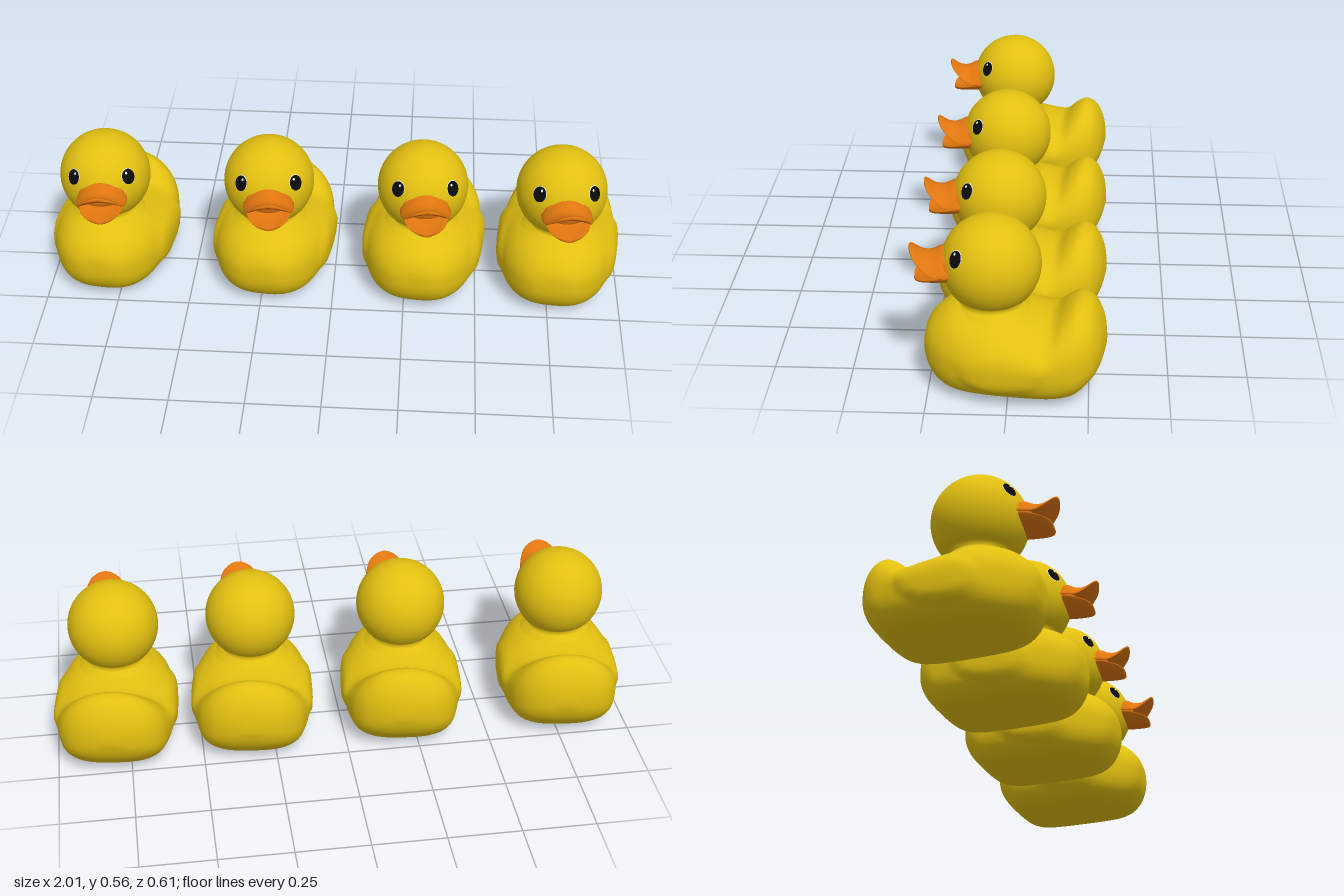
import * as THREE from 'three';

const material = (name, color) => {
  const m = new THREE.MeshStandardMaterial({ color });
  m.name = name;
  return m;
};
const yellow = material('duckYellow', 0xe2c010);
const orange = material('billOrange', 0xe0760f);
const black = material('eyeBlack', 0x0a0a0a);
const white = material('eyeWhite', 0xf2f2f2);

const HEAD_Y = 0.407, HEAD_Z = 0.055, HEAD_R = 0.155;

function mesh(name, geometry, mat) {
  const m = new THREE.Mesh(geometry, mat);
  m.name = name;
  return m;
}

// Smoothly resample a short table of cross-sections (five numbers per row)
function resample(rows, steps) {
  const spline = (f) => new THREE.CatmullRomCurve3(rows.map(f), false, 'catmullrom');
  const a = spline((r) => new THREE.Vector3(r[0], r[1], r[2]));
  const b = spline((r) => new THREE.Vector3(r[3], r[4], 0));
  return Array.from({ length: steps + 1 }, (_, i) => {
    const p = a.getPoint(i / steps), q = b.getPoint(i / steps);
    return [p.x, p.y, p.z, q.x, q.y];
  });
}

// Skin closed cross-sections, ordered front to back, with both ends capped
function loft(rows, sides, pointAt) {
  const pos = [], index = [], n = rows.length;
  for (const row of rows) {
    for (let j = 0; j < sides; j++) pos.push(...pointAt(row, (j / sides) * Math.PI * 2));
  }
  for (let i = 0; i < n - 1; i++) {
    for (let j = 0; j < sides; j++) {
      const k = (j + 1) % sides;
      const a = i * sides + j, b = i * sides + k, c = a + sides, d = b + sides;
      index.push(a, c, b, b, c, d);
    }
  }
  for (const end of [0, n - 1]) {
    const right = pointAt(rows[end], 0), left = pointAt(rows[end], Math.PI);
    const up = pointAt(rows[end], Math.PI / 2), down = pointAt(rows[end], -Math.PI / 2);
    const centre = pos.length / 3;
    pos.push((right[0] + left[0]) / 2, (up[1] + down[1]) / 2, up[2]);
    for (let j = 0; j < sides; j++) {
      const a = end * sides + j, b = end * sides + ((j + 1) % sides);
      if (end === 0) index.push(centre, a, b);
      else index.push(centre, b, a);
    }
  }
  const g = new THREE.BufferGeometry();
  g.setAttribute('position', new THREE.Float32BufferAttribute(pos, 3));
  g.setIndex(index);
  g.computeVertexNormals();
  return g;
}

// Body with upturned tail and softly raised wings
function bodyGeometry() {
  // z, bottom, top, half width, height of widest point
  const rows = resample([
    [0.262, 0.125, 0.155, 0.025, 0.14],
    [0.258, 0.095, 0.182, 0.06, 0.14],
    [0.245, 0.062, 0.212, 0.092, 0.138],
    [0.22, 0.03, 0.24, 0.125, 0.136],
    [0.18, 0.008, 0.268, 0.158, 0.135],
    [0.13, 0, 0.283, 0.182, 0.135],
    [0.06, 0, 0.285, 0.198, 0.135],
    [0, 0, 0.276, 0.202, 0.135],
    [-0.06, 0, 0.261, 0.203, 0.135],
    [-0.12, 0, 0.25, 0.2, 0.135],
    [-0.15, 0, 0.257, 0.195, 0.136],
    [-0.18, 0.003, 0.286, 0.188, 0.138],
    [-0.21, 0.013, 0.307, 0.18, 0.14],
    [-0.235, 0.031, 0.309, 0.168, 0.143],
    [-0.26, 0.057, 0.296, 0.148, 0.148],
    [-0.28, 0.083, 0.267, 0.12, 0.155],
    [-0.295, 0.115, 0.228, 0.08, 0.162],
    [-0.304, 0.15, 0.182, 0.025, 0.166],
  ], 68);
  return loft(rows, 56, ([z, bottom, top, w, mid], a) => {
    const c = Math.cos(a), s = Math.sin(a);
    const e = 2 / (s > 0 ? 2.1 : 2.8);
    let x = w * Math.sign(c) * Math.abs(c) ** e;
    const y = mid + (s > 0 ? top - mid : bottom - mid) * Math.abs(s) ** e;
    const d = Math.hypot((z + 0.005) / 0.14, (y - 0.135 + z * 0.1) / 0.08);
    x += Math.sign(c) * Math.min(1, Math.abs(c) * 3) * 0.01 * (1 - THREE.MathUtils.smoothstep(d, 0.75, 1.1));
    return [x, y, z];
  });
}

// Round head with a flared neck, turned as one profile
function headGeometry() {
  const profile = [[0.14, 0.24], [0.118, 0.263], [0.101, 0.276], [0.094, 0.286], [0.104, 0.297]]
    .map(([r, y]) => new THREE.Vector2(r, y));
  for (let i = 0; i <= 28; i++) {
    const a = THREE.MathUtils.lerp(-0.7, Math.PI / 2, i / 28);
    profile.push(new THREE.Vector2(Math.max(0, HEAD_R * Math.cos(a)), HEAD_Y + HEAD_R * Math.sin(a)));
  }
  return new THREE.LatheGeometry(profile, 56);
}

// One half of the bill: z, half width, centre top, edge height, half thickness
function billGeometry(rows) {
  return loft(resample(rows, 20).reverse(), 28, ([z, w, top, edge, t], a) => {
    const c = Math.cos(a);
    return [w * c, THREE.MathUtils.lerp(top - t, edge, c * c) + t * Math.sin(a), z - HEAD_Z];
  });
}

// Thin rounded patch lying on the head
function eyePatch(name, mat, lift, angle, yaw, pitch) {
  const g = new THREE.SphereGeometry(HEAD_R + lift, 28, 5, 0, Math.PI * 2, 0, angle);
  g.rotateX(Math.PI / 2).scale(0.88, 1, 1);
  const m = mesh(name, g, mat);
  m.rotation.set(-pitch, yaw, 0, 'YXZ');
  m.position.y = HEAD_Y;
  return m;
}

function createDuck() {
  const duck = new THREE.Group();
  const body = mesh('body', bodyGeometry(), yellow);
  body.rotation.y = -0.1;

  const head = new THREE.Group();
  head.name = 'head';
  head.position.set(-0.006, 0, HEAD_Z);
  head.rotation.y = 0.08;
  head.add(mesh('headAndNeck', headGeometry(), yellow));

  const billBase = mesh('billBase', new THREE.SphereGeometry(1, 28, 18), orange);
  billBase.scale.set(0.08, 0.052, 0.045);
  billBase.position.set(0, 0.409, 0.127);
  head.add(billBase);
  head.add(mesh('upperBill', billGeometry([
    [0.16, 0.082, 0.467, 0.4, 0.02],
    [0.2, 0.086, 0.465, 0.397, 0.02],
    [0.235, 0.081, 0.45, 0.397, 0.014],
    [0.265, 0.072, 0.451, 0.416, 0.01],
    [0.29, 0.056, 0.467, 0.443, 0.009],
    [0.301, 0.036, 0.474, 0.458, 0.007],
    [0.305, 0.012, 0.472, 0.464, 0.004],
  ]), orange));
  head.add(mesh('lowerBill', billGeometry([
    [0.16, 0.072, 0.385, 0.39, 0.016],
    [0.2, 0.08, 0.386, 0.393, 0.016],
    [0.23, 0.075, 0.377, 0.388, 0.012],
    [0.26, 0.065, 0.372, 0.381, 0.009],
    [0.28, 0.048, 0.37, 0.376, 0.008],
    [0.288, 0.03, 0.368, 0.372, 0.006],
    [0.291, 0.01, 0.366, 0.368, 0.004],
  ]), orange));

  // Eyes: white rim, black pupil, small glint
  for (const side of [1, -1]) {
    const label = side > 0 ? 'left' : 'right';
    head.add(
      eyePatch(label + 'EyeRim', white, 0.001, 0.18, side * 0.7, 0.405),
      eyePatch(label + 'EyePupil', black, 0.0025, 0.172, side * 0.7, 0.395),
      eyePatch(label + 'EyeGlint', white, 0.0045, 0.03, side * 0.66, 0.49),
    );
  }
  duck.add(body, head);
  return duck;
}

export function createModel() {
  const group = new THREE.Group();
  group.name = 'rowOfDucks';
  const first = createDuck();
  [-0.79, -0.22, 0.31, 0.784].forEach((x, i) => {
    const duck = i ? first.clone() : first;
    duck.name = 'duck' + (i + 1);
    duck.position.x = x;
    group.add(duck);
  });
  return group;
}
